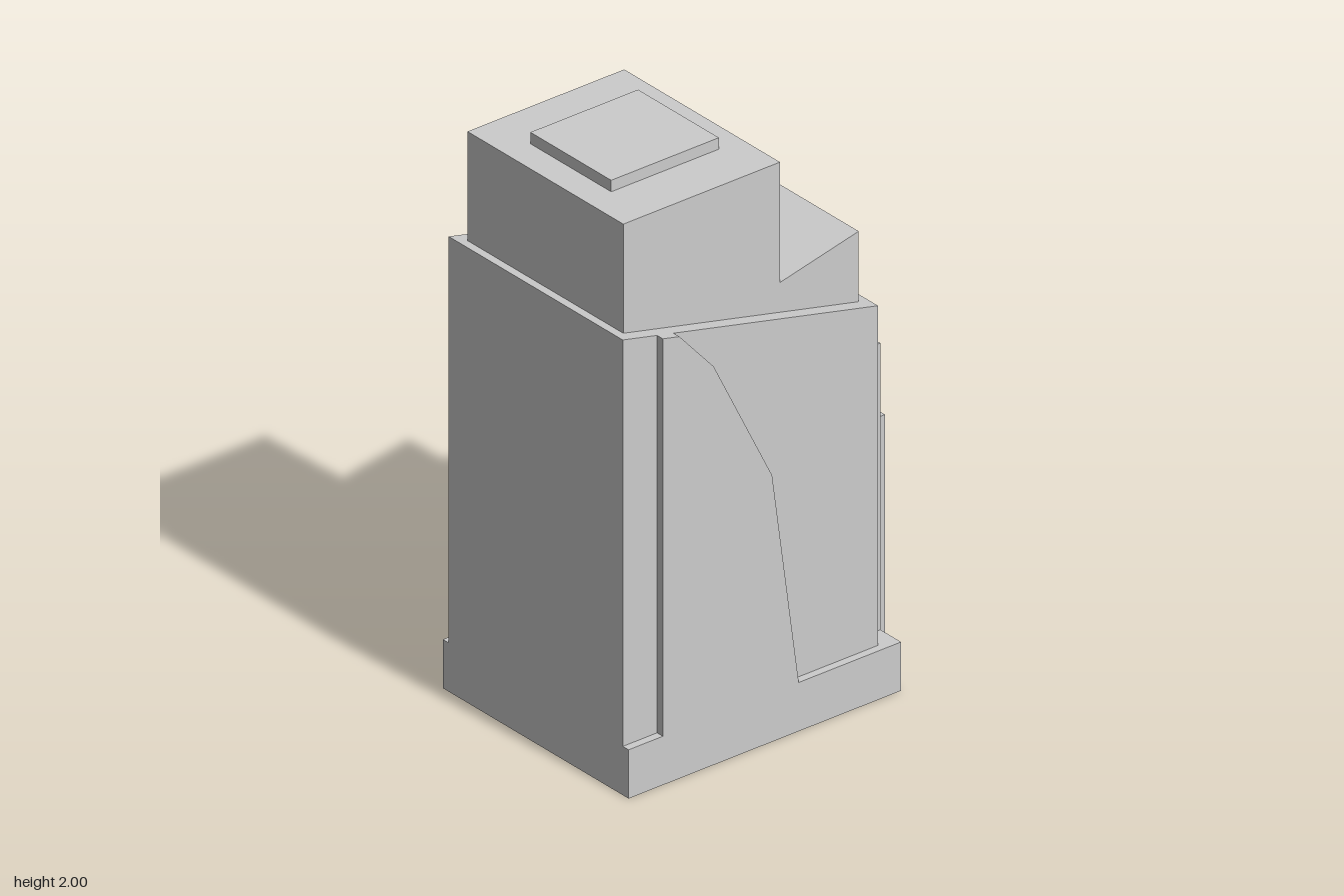
import * as THREE from 'three';
import { mergeGeometries } from 'three/addons/utils/BufferGeometryUtils.js';

const X_IN = 0.42, X_OUT = 0.448;              // recessed and outer side walls
const FRONT = 0.565, BACK = -0.44, BASE_BACK = -0.508, BASE_H = 0.17;
const roofY = z => 1.588 + (z - FRONT) * (0.233 / (FRONT - BACK));

const material = new THREE.MeshStandardMaterial({ color: 0xcccccc, side: THREE.DoubleSide, flatShading: true });

function add(parent, name, geometry) {
  const mesh = new THREE.Mesh(geometry, material);
  mesh.name = name;
  parent.add(mesh);
  return mesh;
}

const shapeOf = pts => new THREE.Shape(pts.map(p => new THREE.Vector2(...p)));

// Flat wall facing +z or -z, outline given as [x, y]
function wallZ(pts, z, dir) {
  const g = new THREE.ShapeGeometry(shapeOf(pts.map(([x, y]) => [x * dir, y])));
  return g.rotateY(dir > 0 ? 0 : Math.PI).translate(0, 0, z);
}

// Flat wall facing +x or -x, outline given as [z, y]
function wallX(pts, x, dir) {
  const g = new THREE.ShapeGeometry(shapeOf(pts.map(([z, y]) => [-dir * z, y])));
  return g.rotateY(dir * Math.PI / 2).translate(x * dir, 0, 0);
}

// Ribbon of quads joining two matching 3D paths
function ribbon(a, b) {
  const pos = [];
  for (let i = 0; i < a.length - 1; i++) {
    pos.push(...a[i], ...b[i], ...b[i + 1], ...a[i], ...b[i + 1], ...a[i + 1]);
  }
  const g = new THREE.BufferGeometry();
  g.setAttribute('position', new THREE.Float32BufferAttribute(pos, 3));
  g.computeVertexNormals();
  return g;
}

function rect(x0, y0, x1, y1) {
  return [[x0, y0], [x1, y0], [x1, y1], [x0, y1]];
}

// Side wall: swept outer panel, recessed corner strip and recessed rear field
function addSide(group, dir) {
  const side = new THREE.Group();
  side.name = dir > 0 ? 'leftSide' : 'rightSide';
  const curve = [[0.365, roofY(0.365)], [0.23, 1.39], [0, 0.93], [-0.105, BASE_H]];
  const edge = [[FRONT, BASE_H], [0.43, BASE_H], [0.43, roofY(0.43)], ...curve];

  add(side, 'outerPanel', wallX([[FRONT, 0], ...edge, [BASE_BACK, BASE_H], [BASE_BACK, 0]], X_OUT, dir));
  add(side, 'cornerRecess', wallX(
    [[FRONT, BASE_H], [FRONT, roofY(FRONT)], [0.43, roofY(0.43)], [0.43, BASE_H]], X_IN, dir));
  add(side, 'rearRecess', wallX([...curve, [BACK, BASE_H], [BACK, roofY(BACK)]], X_IN, dir));
  const at = x => [...edge, [BACK, BASE_H]].map(([z, y]) => [x * dir, y, z]);
  add(side, 'panelEdge', dir > 0 ? ribbon(at(X_IN), at(X_OUT)) : ribbon(at(X_OUT), at(X_IN)));
  group.add(side);
}

// Pillar with a grid of shallow recessed windows on its rear face
function addPillar(group, cx) {
  const pillar = new THREE.Group();
  pillar.name = 'windowPillar';
  const h = 0.88, half = 0.125, inset = 0.01;
  const face = shapeOf(rect(-half, 0, half, h));
  for (let row = 0; row < 5; row++) {
    for (const x of [-0.06, 0.06]) {
      const y = 0.15 + row * 0.145;
      face.holes.push(new THREE.Path(
        rect(x - 0.045, y, x + 0.045, y + 0.09).map(p => new THREE.Vector2(...p))));
    }
  }
  const frame = new THREE.ExtrudeGeometry(face, { depth: inset, bevelEnabled: false });
  add(pillar, 'windowFrame', frame).position.set(cx, 0, -0.565);
  const depth = BASE_BACK + 0.565 - inset;
  add(pillar, 'pillarCore', new THREE.BoxGeometry(half * 2, h, depth))
    .position.set(cx, h / 2, BASE_BACK - depth / 2);
  group.add(pillar);
}

export function createModel() {
  const model = new THREE.Group();
  model.name = 'towerBuilding';

  // Hollow lower body, open underneath
  const body = new THREE.Group();
  body.name = 'body';
  model.add(body);

  const top = roofY(FRONT), rear = roofY(BACK);
  add(body, 'frontWall', wallZ([
    [-X_OUT, 0], [X_OUT, 0], [X_OUT, BASE_H], [X_IN, BASE_H],
    [X_IN, top], [-X_IN, top], [-X_IN, BASE_H], [-X_OUT, BASE_H]], FRONT, 1));
  for (const dir of [1, -1]) addSide(body, dir);

  // Rear wall with its raised panel and base ledge
  const panel = [[-0.348, BASE_H], [-0.348, 1.17], [0.348, 1.17], [0.348, BASE_H]];
  const rearEdge = [[-X_OUT, BASE_H], ...panel, [X_OUT, BASE_H]];
  const rearAt = z => rearEdge.map(([x, y]) => [x, y, z]);
  add(body, 'rearWall', mergeGeometries([
    wallZ([[-X_IN, BASE_H], ...panel, [X_IN, BASE_H], [X_IN, rear], [-X_IN, rear]], BACK, -1),
    wallZ([[-X_OUT, 0], ...rearEdge, [X_OUT, 0]], BASE_BACK, -1)]));
  add(body, 'rearPanelEdge', ribbon(rearAt(BASE_BACK), rearAt(BACK)));

  // Sloping roof
  add(body, 'slopedRoof', ribbon(
    [[-X_IN, top, FRONT], [X_IN, top, FRONT]].reverse(),
    [[-X_IN, rear, BACK], [X_IN, rear, BACK]].reverse()));

  for (const cx of [-0.175, 0.175]) addPillar(model, cx);

  // Upper block with a wedge-shaped rear step
  const profile = [[0.527, roofY(0.527)], [0.527, 1.96], [-0.09, 1.96], [-0.09, 1.54],
    [-0.4, 1.61], [-0.4, roofY(-0.4)]];
  const upper = new THREE.ExtrudeGeometry(shapeOf(profile.map(([z, y]) => [-z, y])),
    { depth: 0.752, bevelEnabled: false });
  add(model, 'upperBlock', upper.rotateY(Math.PI / 2).translate(-0.376, 0, 0));

  // Roof cap
  add(model, 'roofCap', new THREE.BoxGeometry(0.39, 0.04, 0.424)).position.set(0, 1.98, 0.215);

  return model;
}
